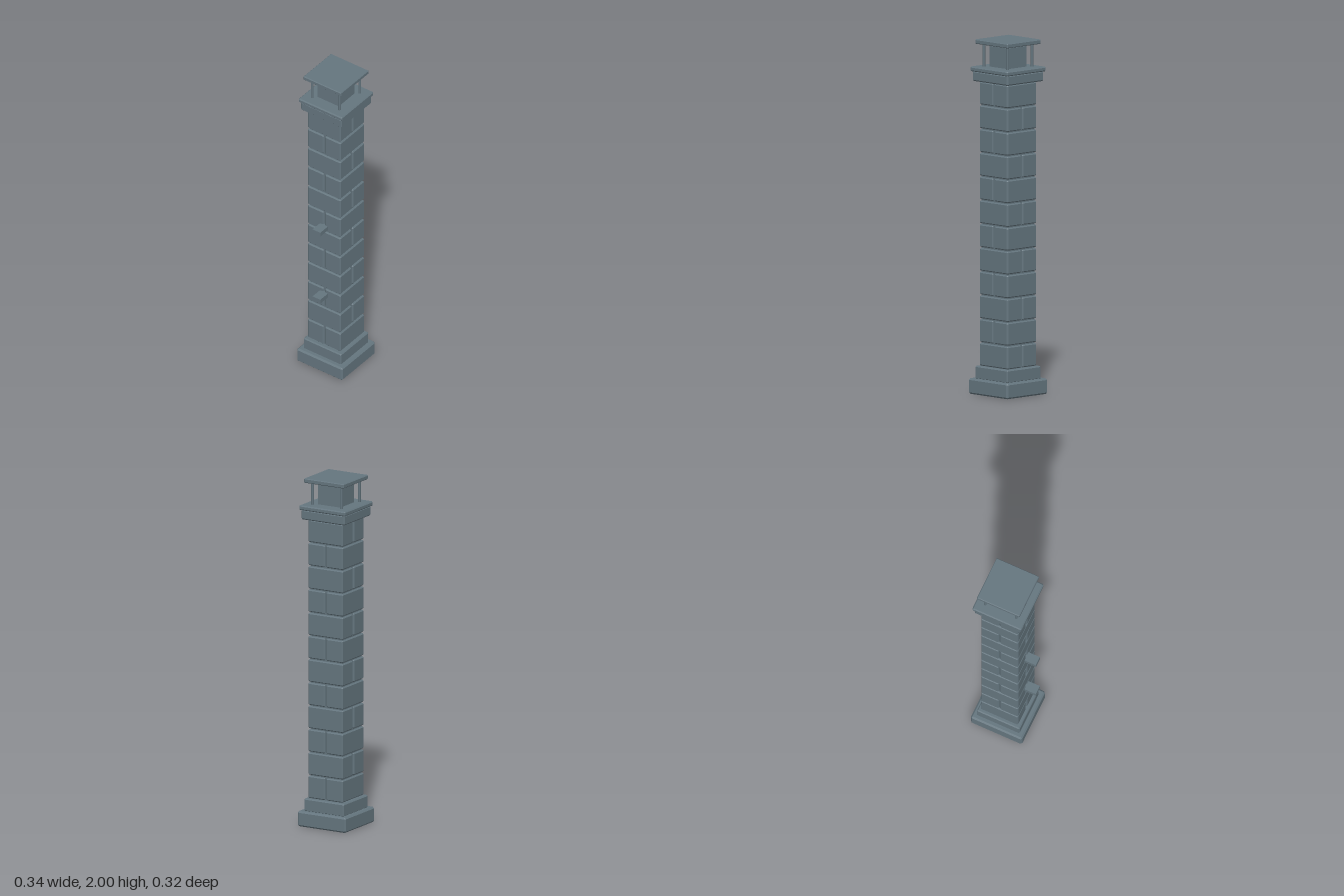
import * as THREE from 'three';
import { ConvexGeometry } from 'three/addons/geometries/ConvexGeometry.js';

const stone = new THREE.MeshStandardMaterial({ color: 0x64757e });
stone.name = 'blueGreyStone';

// Box with every edge chamfered by b
function chamferBox(w, h, d, b) {
  const points = [];
  for (const x of [-1, 1]) for (const y of [-1, 1]) for (const z of [-1, 1]) {
    points.push(
      new THREE.Vector3(x * w / 2, y * (h / 2 - b), z * (d / 2 - b)),
      new THREE.Vector3(x * (w / 2 - b), y * h / 2, z * (d / 2 - b)),
      new THREE.Vector3(x * (w / 2 - b), y * (h / 2 - b), z * d / 2));
  }
  return new ConvexGeometry(points);
}

export function createModel() {
  const model = new THREE.Group();
  model.name = 'chimney';
  const stack = new THREE.Group();
  stack.name = 'stack';
  stack.position.x = 0.0125;
  model.add(stack);

  // Adds a box spanning y0..y1; b is the chamfer (0 = sharp)
  function block(name, w, d, y0, y1, x = 0, z = 0, b = 0) {
    const h = y1 - y0;
    const geometry = b ? chamferBox(w, h, d, b) : new THREE.BoxGeometry(w, h, d);
    const mesh = new THREE.Mesh(geometry, stone);
    mesh.name = name;
    mesh.position.set(x, (y0 + y1) / 2, z);
    stack.add(mesh);
    return mesh;
  }

  // Stepped plinth
  block('plinth', 0.316, 0.316, 0, 0.088, 0, 0, 0.009);
  block('plinthStep', 0.262, 0.262, 0.084, 0.158, 0, 0, 0.006);

  // Recessed mortar core
  block('mortarCore', 0.208, 0.208, 0.1, 1.8);

  // Courses of two stones, the joint turning a quarter each course
  const side = 0.228, joint = 0.01, pitch = 0.134;
  const half = (side - joint) / 2, offset = (half + joint) / 2;
  for (let i = 0; i < 12; i++) {
    const y0 = 0.16 + i * pitch, y1 = y0 + pitch - 0.007;
    for (const s of [-1, 1]) {
      if (i % 2) block('stone', half, side, y0, y1, s * offset, 0, 0.006);
      else block('stone', side, half, y0, y1, 0, s * offset, 0.006);
    }
  }

  // Crown
  block('crown', 0.284, 0.284, 1.765, 1.822, 0, 0, 0.007);
  block('crownSlab', 0.302, 0.302, 1.82, 1.847, 0, 0, 0.006);

  // Hollow flue: two full-depth walls with two walls set between them
  for (const s of [-1, 1]) {
    block('flueSide', 0.022, 0.148, 1.84, 1.963, s * 0.063);
    block('flueEnd', 0.104, 0.022, 1.84, 1.963, 0, s * 0.063);
  }

  // Posts carrying the rain cap
  const postGeometry = new THREE.CylinderGeometry(0.008, 0.008, 0.14, 8);
  for (const x of [-1, 1]) for (const z of [-1, 1]) {
    const post = new THREE.Mesh(postGeometry, stone);
    post.name = 'capPost';
    post.position.set(x * 0.095, 1.91, z * 0.095);
    stack.add(post);
  }
  block('rainCap', 0.262, 0.262, 1.975, 2, 0, 0, 0.004);

  // Wall brackets on the right side
  for (const y of [0.504, 0.976]) {
    block('wallBracket', 0.09, 0.054, y, y + 0.027, -0.1395);
  }
  return model;
}
